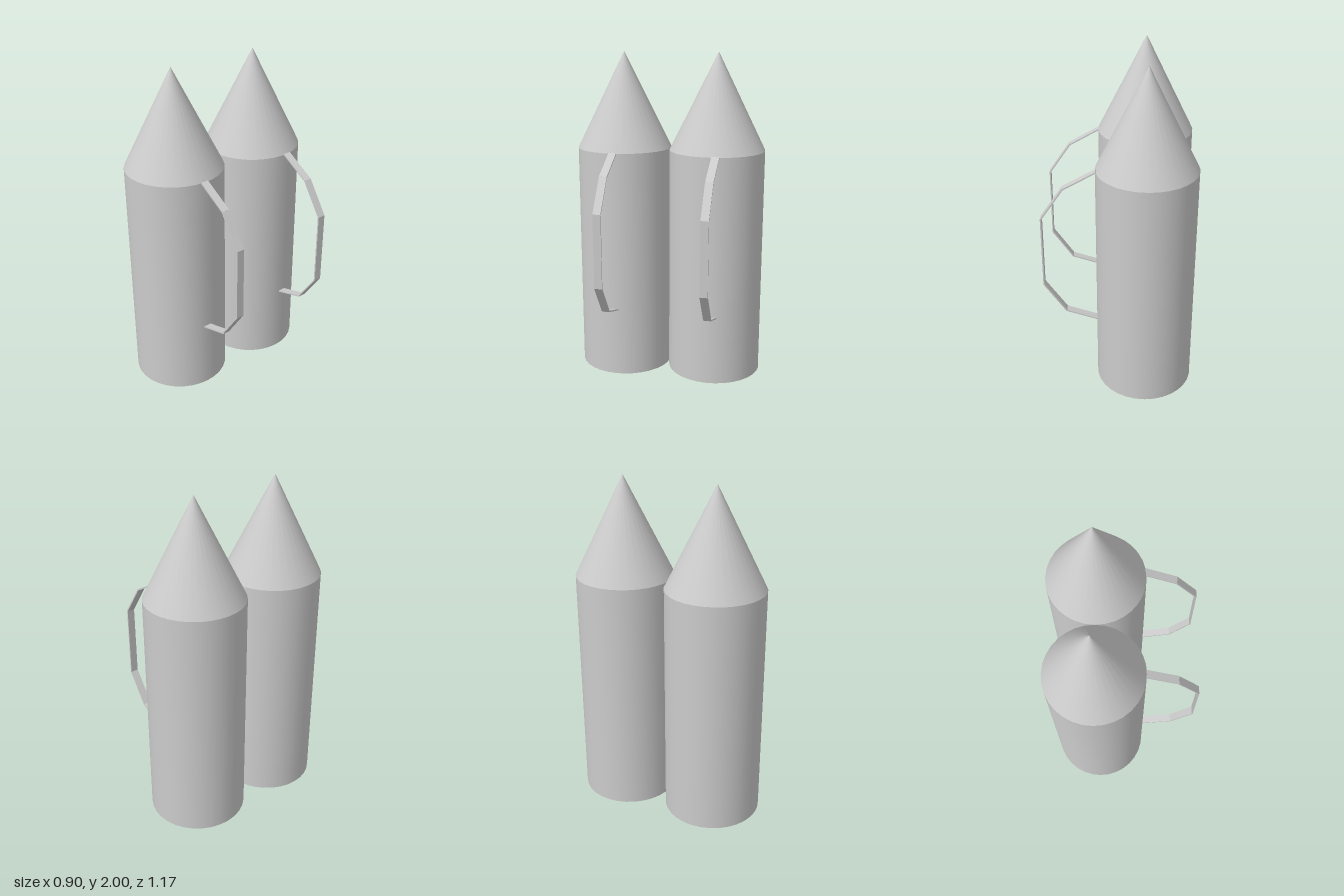
import * as THREE from 'three';

const RADIUS = 0.2915, BODY_HEIGHT = 1.415, CONE_HEIGHT = 0.585;
const CENTRE_X = -0.157, SIDES = 32;
const STRAP_WIDTH = 0.047, STRAP_THICKNESS = 0.008;

// Handle centre line in x and y, from the rim down to the lower joint
const HANDLE_PATH = [
  [0.13, 1.415], [0.315, 1.31], [0.444, 1.12],
  [0.444, 0.68], [0.315, 0.492], [0.13, 0.432],
].map(([x, y]) => new THREE.Vector2(x, y));

const material = new THREE.MeshStandardMaterial({ color: 0xcccccc });

function addMesh(parent, name, geometry, x, y, z) {
  const mesh = new THREE.Mesh(geometry, material);
  mesh.name = name;
  mesh.position.set(x, y, z);
  parent.add(mesh);
  return mesh;
}

// Flat strap bent from straight pieces
function createHandle() {
  const handle = new THREE.Group();
  handle.name = 'handle';
  for (let i = 0; i < HANDLE_PATH.length - 1; i++) {
    const a = HANDLE_PATH[i], b = HANDLE_PATH[i + 1];
    const geometry = new THREE.BoxGeometry(a.distanceTo(b) + 0.003, STRAP_THICKNESS, STRAP_WIDTH);
    const piece = addMesh(handle, 'handleStrap', geometry, (a.x + b.x) / 2, (a.y + b.y) / 2, 0);
    piece.rotation.z = Math.atan2(b.y - a.y, b.x - a.x);
  }
  return handle;
}

// Cylindrical body with a pointed cap and a side handle
function createCanister(name, z, handleZ) {
  const canister = new THREE.Group();
  canister.name = name;
  addMesh(canister, 'body', new THREE.CylinderGeometry(RADIUS, RADIUS, BODY_HEIGHT, SIDES),
    CENTRE_X, BODY_HEIGHT / 2, z);
  addMesh(canister, 'coneCap', new THREE.ConeGeometry(RADIUS, CONE_HEIGHT, SIDES),
    CENTRE_X, BODY_HEIGHT + CONE_HEIGHT / 2, z);
  const handle = createHandle();
  handle.position.z = handleZ;
  canister.add(handle);
  return canister;
}

export function createModel() {
  const model = new THREE.Group();
  model.name = 'twinCanisters';
  model.add(createCanister('frontCanister', RADIUS, 0.289));
  model.add(createCanister('backCanister', -RADIUS, -0.328));
  return model;
}
